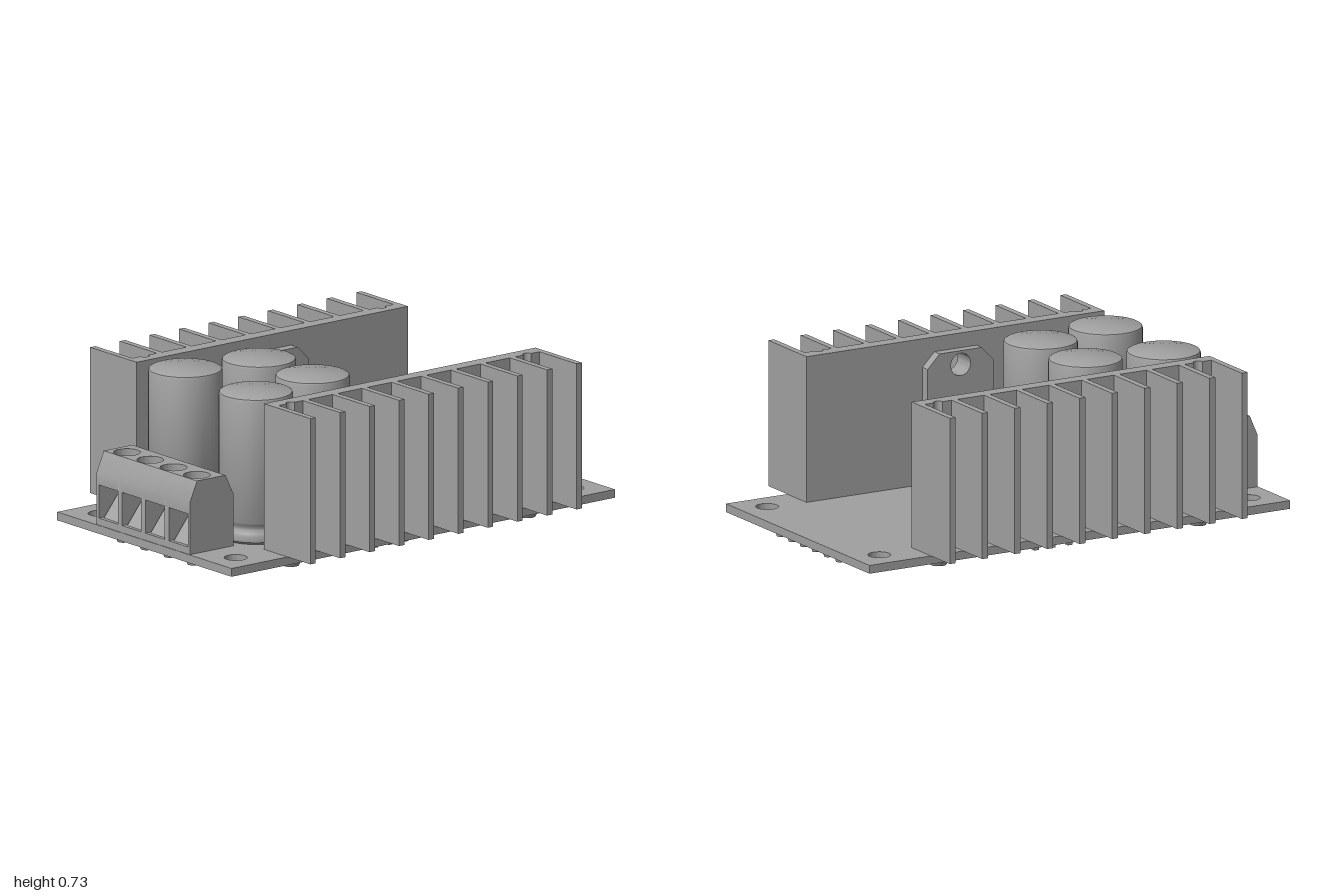
import * as THREE from 'three';
import { toCreasedNormals } from 'three/addons/utils/BufferGeometryUtils.js';

const grey = new THREE.MeshStandardMaterial({ color: 0xa0a0a0 });
grey.name = 'plain grey';

function add(parent, name, geo, x = 0, y = 0, z = 0) {
  const mesh = new THREE.Mesh(toCreasedNormals(geo, 0.6), grey);
  mesh.name = name;
  mesh.position.set(x, y, z);
  parent.add(mesh);
  return mesh;
}
function group(parent, name) {
  const g = new THREE.Group();
  g.name = name;
  parent.add(g);
  return g;
}
// box given by its limits
function block(parent, name, x0, x1, y0, y1, z0, z1) {
  return add(parent, name, new THREE.BoxGeometry(x1 - x0, y1 - y0, z1 - z0),
    (x0 + x1) / 2, (y0 + y1) / 2, (z0 + z1) / 2);
}
function cyl(parent, name, rTop, rBottom, x, y0, y1, z) {
  return add(parent, name, new THREE.CylinderGeometry(rTop, rBottom, y1 - y0, 24), x, (y0 + y1) / 2, z);
}
const poly = (pts) => new THREE.Shape(pts.map((p) => new THREE.Vector2(p[0], p[1])));
function punch(shape, x, y, r) {
  const hole = new THREE.Path();
  hole.absarc(x, y, r, 0, Math.PI * 2, true);
  shape.holes.push(hole);
  return shape;
}
const extrude = (shape, depth) =>
  new THREE.ExtrudeGeometry(shape, { depth, bevelEnabled: false, curveSegments: 20 });
// extrude upwards; shape y points to -z
const raise = (shape, height) => extrude(shape, height).rotateX(-Math.PI / 2);

const BOARD = 0.075, DECK = 0.11, TOP = 0.725;

// solder cone under the board, with an optional lead end
function solder(parent, x, z, r, lead = 0) {
  cyl(parent, 'solderJoint', r, r * 0.7, x, 0.042, BOARD, z);
  if (lead) cyl(parent, 'leadEnd', lead, lead * 0.85, x, 0, 0.05, z);
}

// finned heat sink with its power transistor, on the back edge
function coolingUnit(parent, name) {
  const unit = group(parent, name);
  const sink = group(unit, 'heatSink');
  const height = TOP - DECK;
  for (const s of [-1, 1]) {
    // base half with a round screw channel
    const half = new THREE.Shape();
    half.moveTo(0.065, 0.417);
    half.lineTo(0.708, 0.417);
    half.lineTo(0.708, 0.478);
    half.lineTo(0.637, 0.478);
    half.absarc(0.617, 0.478, 0.02, 0, Math.PI, true);
    half.lineTo(0.065, 0.478);
    const m = add(sink, 'sinkBase', raise(half, height), 0, DECK, 0);
    if (s < 0) {
      m.geometry.rotateZ(Math.PI); // turn over for the other side
      m.position.y = TOP;
    }
    cyl(sink, 'mountingPin', 0.018, 0.018, s * 0.617, 0.06, 0.3, -0.478);
    solder(sink, s * 0.617, -0.478, 0.048);
  }
  const middle = punch(poly([[-0.065, DECK], [0.065, DECK], [0.065, TOP], [-0.065, TOP]]), 0, 0.605, 0.047);
  add(sink, 'sinkBaseMiddle', extrude(middle, 0.061), 0, 0, -0.478);
  for (let i = 0; i < 10; i++) {
    const x = -0.694 + i * 0.1542;
    block(sink, 'fin', x - 0.014, x + 0.014, DECK, TOP, -0.72, -0.47);
  }

  const part = group(unit, 'transistor');
  const tab = punch(poly([[-0.157, 0.2], [0.157, 0.2], [0.157, 0.605], [0.1, 0.663],
    [-0.1, 0.663], [-0.157, 0.605]]), 0, 0.605, 0.047);
  add(part, 'transistorTab', extrude(tab, 0.042), 0, 0, -0.417);
  block(part, 'transistorBody', -0.157, 0.157, 0.2, 0.47, -0.376, -0.285);
  for (const x of [-0.08, 0, 0.08]) {
    block(part, 'transistorLead', x - 0.016, x + 0.016, DECK, 0.21, -0.36, -0.338);
    block(part, 'leadTip', x - 0.011, x + 0.011, 0, DECK, -0.36, -0.338);
    solder(part, x, -0.349, 0.033);
  }
  return unit;
}

// tall can with a rolled neck near the foot
function capacitor(parent, x, z, angle) {
  const c = group(parent, 'capacitor');
  const profile = [[0, 0], [0.14, 0], [0.15, 0.01], [0.152, 0.035], [0.147, 0.045], [0.139, 0.06],
    [0.139, 0.068], [0.147, 0.082], [0.152, 0.09], [0.152, 0.603], [0.149, 0.611], [0.142, 0.615], [0, 0.615]];
  add(c, 'capacitorCan', new THREE.LatheGeometry(profile.map((p) => new THREE.Vector2(p[0], p[1])), 48), x, DECK, z);
  for (const s of [-1, 1]) {
    solder(c, x + s * 0.076 * Math.cos(angle), z + s * 0.076 * Math.sin(angle), 0.036, 0.022);
  }
}

// slotted screw made of four raised quarters
function screw(parent, x, z) {
  const s = group(parent, 'terminalScrew');
  cyl(s, 'screwCore', 0.053, 0.053, x, 0.29, 0.36, z);
  for (let i = 0; i < 4; i++) {
    const quarter = new THREE.Shape();
    quarter.moveTo(0.007, 0.007);
    quarter.lineTo(0.051, 0.007);
    quarter.absarc(0, 0, 0.0515, 0.137, Math.PI / 2 - 0.137, false);
    quarter.lineTo(0.007, 0.051);
    add(s, 'screwQuarter', raise(quarter, 0.025), x, 0.36, z).rotation.y = i * Math.PI / 2;
  }
}

function terminalBlock(parent) {
  const t = group(parent, 'terminalBlock');
  const z0 = -0.315, z1 = 0.295, pitch = 0.1525, wall = 0.014;
  const full = poly([[-0.997, DECK], [-0.77, DECK], [-0.77, 0.33], [-0.812, 0.415], [-0.96, 0.415], [-0.997, 0.33]]);
  const rear = poly([[-0.843, DECK], [-0.77, DECK], [-0.77, 0.33], [-0.812, 0.415], [-0.843, 0.415]]);
  const brow = poly([[-0.997, 0.28], [-0.957, 0.28], [-0.957, 0.415], [-0.96, 0.415], [-0.997, 0.33]]);
  const ramp = poly([[-0.98, 0.14], [-0.843, 0.14], [-0.843, 0.27], [-0.9, 0.24]]);
  add(t, 'terminalBack', extrude(rear, z1 - z0), 0, 0, z0);
  add(t, 'terminalBrow', extrude(brow, z1 - z0), 0, 0, z0);
  block(t, 'terminalSill', -0.997, -0.843, DECK, 0.14, z0, z1);
  for (let i = 0; i < 5; i++) {
    const z = z0 + i * pitch;
    const a = Math.max(z - wall, z0), b = Math.min(z + wall, z1);
    add(t, 'terminalDivider', extrude(full, b - a), 0, 0, a);
  }
  for (let i = 0; i < 4; i++) {
    const z = z0 + (i + 0.5) * pitch, h = pitch / 2;
    const lid = punch(poly([[-0.957, -h], [-0.843, -h], [-0.843, h], [-0.957, h]]), -0.9, 0, 0.055);
    add(t, 'screwWell', raise(lid, 0.135), 0, 0.28, z);
    add(t, 'wireClamp', extrude(ramp, 0.1), 0, 0, z - 0.05);
    screw(t, -0.9, z);
    solder(t, -0.92, z, 0.033);
  }
  block(t, 'joiningRib', -0.815, -0.79, DECK, 0.33, -0.33, z0);
}

export function createModel() {
  const model = new THREE.Group();
  model.name = 'powerSupplyBoard';

  // board with four mounting holes
  const outline = poly([[-1, -0.57], [1, -0.57], [1, 0.57], [-1, 0.57]]);
  for (const x of [-0.878, 0.878]) for (const y of [-0.445, 0.445]) punch(outline, x, y, 0.047);
  add(model, 'circuitBoard', raise(outline, DECK - BOARD), 0, BOARD, 0);

  coolingUnit(model, 'backCoolingUnit');
  coolingUnit(model, 'frontCoolingUnit').rotation.y = Math.PI;

  capacitor(model, -0.6, -0.233, Math.PI / 4);
  capacitor(model, -0.265, -0.172, 0);
  capacitor(model, -0.6, 0.228, 0);
  capacitor(model, -0.255, 0.167, 0);

  terminalBlock(model);

  // loose solder joints in the middle and along the left edge
  solder(model, 0.26, 0, 0.036);
  solder(model, 0, 0, 0.036);
  for (let i = 0; i < 6; i++) solder(model, 0.94, -0.235 + i * 0.094, 0.023);

  return model;
}
